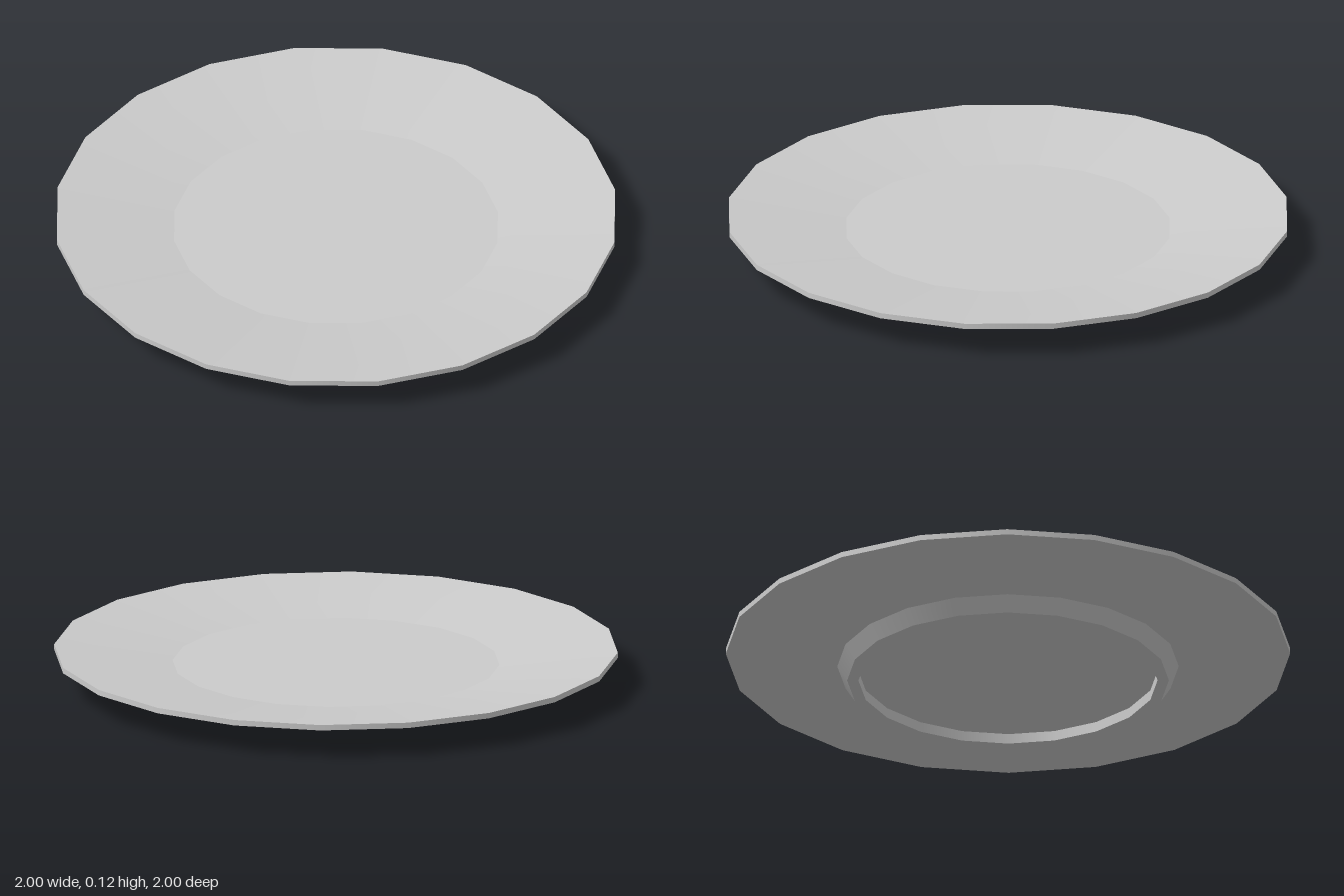
import * as THREE from 'three';

const SIDES = 20;

// Cross-section from the underside centre, out to the rim, back to the top centre
const PROFILE = [
  [0, 0.037],
  [0.53, 0.037],
  [0.53, 0],
  [0.57, 0],
  [0.605, 0.055],
  [1, 0.105],
  [1, 0.125],
  [0.58, 0.073],
  [0, 0.073],
];

// One band between each pair of profile points
const BANDS = [
  'recessedBase', 'footInnerWall', 'footRing', 'footOuterWall',
  'rimUnderside', 'rimEdge', 'rimTop', 'plateFloor',
];

export function createModel() {
  const plate = new THREE.Group();
  plate.name = 'plate';
  const material = new THREE.MeshStandardMaterial({ color: 0xcccccc });

  // Separate bands stay smooth around the plate and crisp at the profile corners
  BANDS.forEach((name, i) => {
    const points = [PROFILE[i], PROFILE[i + 1]].map(([r, y]) => new THREE.Vector2(r, y));
    const band = new THREE.Mesh(new THREE.LatheGeometry(points, SIDES), material);
    band.name = name;
    plate.add(band);
  });

  return plate;
}
